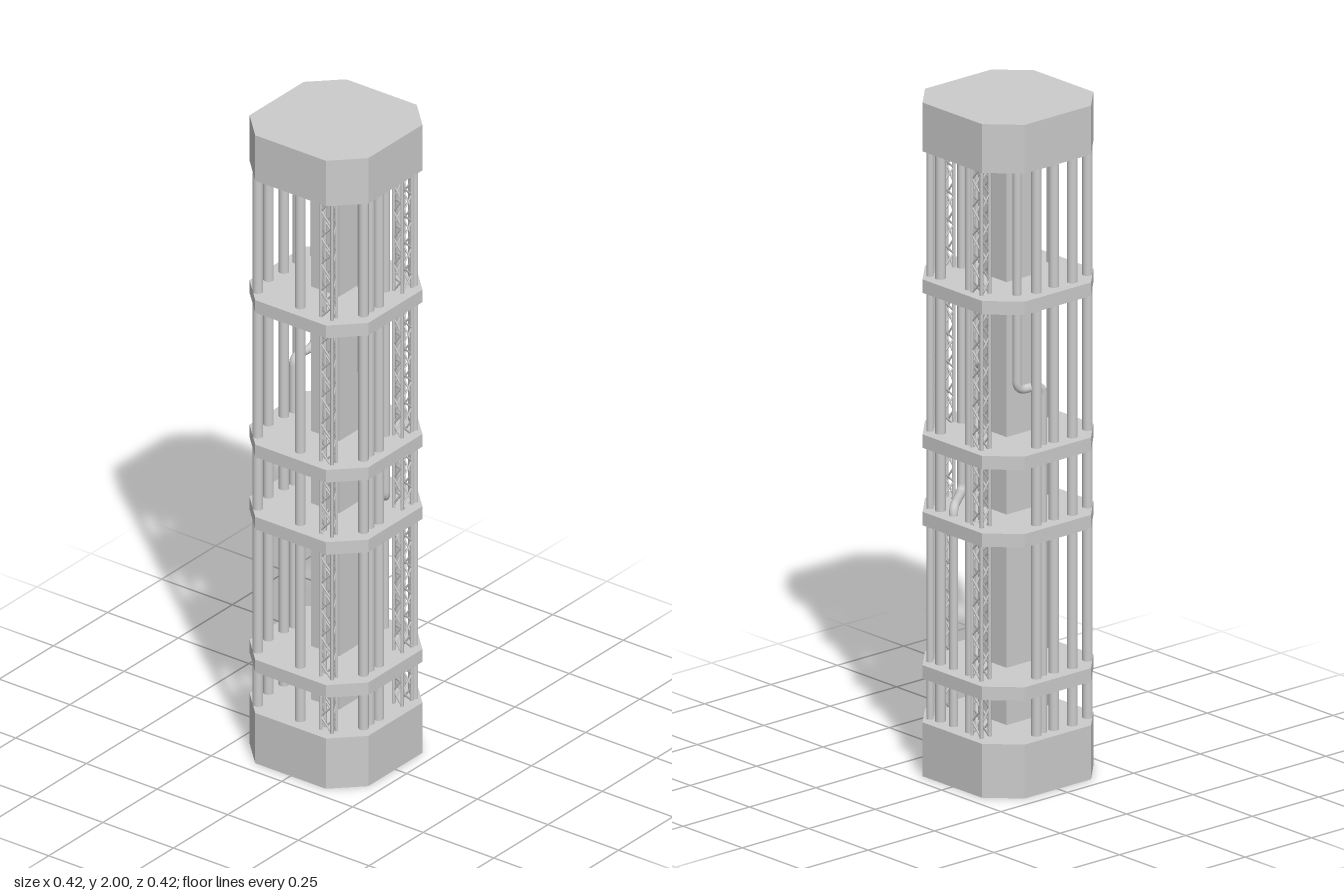
import * as THREE from 'three';

const mat = new THREE.MeshStandardMaterial({ color: 0xcccccc });
const matFlat = new THREE.MeshStandardMaterial({ color: 0xcccccc, flatShading: true });
const UP = new THREE.Vector3(0, 1, 0);
const BOTTOM = 0.16, TOP = 1.855;

// Octagonal slab outline in [x, z]; the notched version loses its front left corner.
function outline(notched) {
  const a = 0.21, b = 0.125;
  const pts = [[b, a], [-b, a], [-a, b], [-a, -b], [-b, -a], [b, -a], [a, -b], [a, b]];
  if (notched) pts.push([b, b]);
  return new THREE.Shape(pts.map(([x, z]) => new THREE.Vector2(x, -z)));
}

export function createModel() {
  const model = new THREE.Group();

  function add(name, geometry, material = mat, parent = model) {
    const mesh = new THREE.Mesh(geometry, material);
    mesh.name = name;
    parent.add(mesh);
    return mesh;
  }

  function slab(name, y0, y1, notched = false) {
    const g = new THREE.ExtrudeGeometry(outline(notched), { depth: y1 - y0, bevelEnabled: false });
    g.rotateX(-Math.PI / 2);
    g.translate(0, y0, 0);
    add(name, g, matFlat);
  }

  // Straight round bar between two points
  function bar(name, a, b, r, sides = 12, parent = model) {
    const d = b.clone().sub(a);
    const mesh = add(name, new THREE.CylinderGeometry(r, r, d.length(), sides), mat, parent);
    mesh.position.copy(a).add(b).multiplyScalar(0.5);
    mesh.quaternion.setFromUnitVectors(UP, d.normalize());
  }

  function pipe(name, x, z, r, y0 = BOTTOM, y1 = TOP) {
    bar(name, new THREE.Vector3(x, y0, z), new THREE.Vector3(x, y1, z), r, 16);
  }

  // Pipe that drops, steps sideways at height y with rounded bends, and drops on
  function offsetPipe(name, [x0, z0], [x1, z1], y, r = 0.013) {
    const corners = [[x0, TOP, z0], [x0, y, z0], [x1, y, z1], [x1, BOTTOM, z1]]
      .map((p) => new THREE.Vector3(...p));
    const bend = 0.028;
    const path = new THREE.CurvePath();
    let from = corners[0];
    for (let i = 1; i < 3; i++) {
      const c = corners[i];
      const p = c.clone().add(corners[i - 1].clone().sub(c).setLength(bend));
      const q = c.clone().add(corners[i + 1].clone().sub(c).setLength(bend));
      path.add(new THREE.LineCurve3(from, p));
      path.add(new THREE.QuadraticBezierCurve3(p, c, q));
      from = q;
    }
    path.add(new THREE.LineCurve3(from, corners[3]));
    add(name, new THREE.TubeGeometry(path, 260, r, 12), mat);
  }

  // Lattice mast: four corner rails and zigzag braces on each side
  function lattice(name, x, z, w, d) {
    const group = new THREE.Group();
    group.name = name;
    group.position.set(x, 0, z);
    model.add(group);
    const c = [[-1, -1], [1, -1], [1, 1], [-1, 1]].map(([i, j]) => [i * w / 2, j * d / 2]);
    const steps = 40, h = (TOP - BOTTOM) / steps;
    const at = ([px, pz], y) => new THREE.Vector3(px, y, pz);
    c.forEach((p, k) => {
      const q = c[(k + 1) % 4];
      bar('latticeRail', at(p, BOTTOM), at(p, TOP), 0.005, 8, group);
      for (let i = 0; i < steps; i++) {
        const [s, e] = i % 2 ? [q, p] : [p, q];
        const y = BOTTOM + i * h;
        bar('latticeBrace', at(s, y), at(e, y + h), 0.003, 5, group);
      }
    });
  }

  // Base, floor plates and cap
  slab('base', 0, BOTTOM);
  for (const y of [0.29, 0.745, 0.975, 1.435]) slab('floorPlate', y, y + 0.04);
  slab('capBody', TOP, 1.96, true);
  slab('capPlate', 1.96, 2);

  // Square core
  const core = add('core', new THREE.BoxGeometry(0.1, TOP - BOTTOM, 0.1), matFlat);
  core.position.y = (TOP + BOTTOM) / 2;

  // Pipes rising into the notch of the cap
  for (const [x, z] of [[0.135, 0.175], [0.153, 0.153], [0.173, 0.135]])
    pipe('cornerPipe', x, z, 0.01, BOTTOM, 1.96);

  // Straight pipes around the core
  const straight = {
    frontPipe: [[-0.095, 0.17], [-0.062, 0.165], [-0.025, 0.17]],
    leftPipe: [[0.165, 0.1], [0.165, -0.025]],
    rightPipe: [[-0.165, 0], [-0.165, -0.15]],
    backPipe: [[-0.09, -0.17], [-0.025, -0.165], [0.045, -0.17]],
  };
  for (const [name, spots] of Object.entries(straight))
    for (const [x, z] of spots) pipe(name, x, z, 0.015);

  // Pipes with a sideways step
  offsetPipe('leftOffsetPipe', [0.058, 0.13], [0.165, 0.045], 0.81);
  offsetPipe('frontOffsetPipe', [0.035, 0.065], [0.005, 0.15], 1.19);
  offsetPipe('backOffsetPipe', [0.1, -0.15], [0.013, -0.16], 1.19);

  // Lattice masts
  lattice('frontLattice', 0.095, 0.163, 0.045, 0.03);
  lattice('leftLattice', 0.165, -0.07, 0.03, 0.04);
  lattice('rightLattice', -0.165, 0.1, 0.02, 0.04);

  return model;
}
